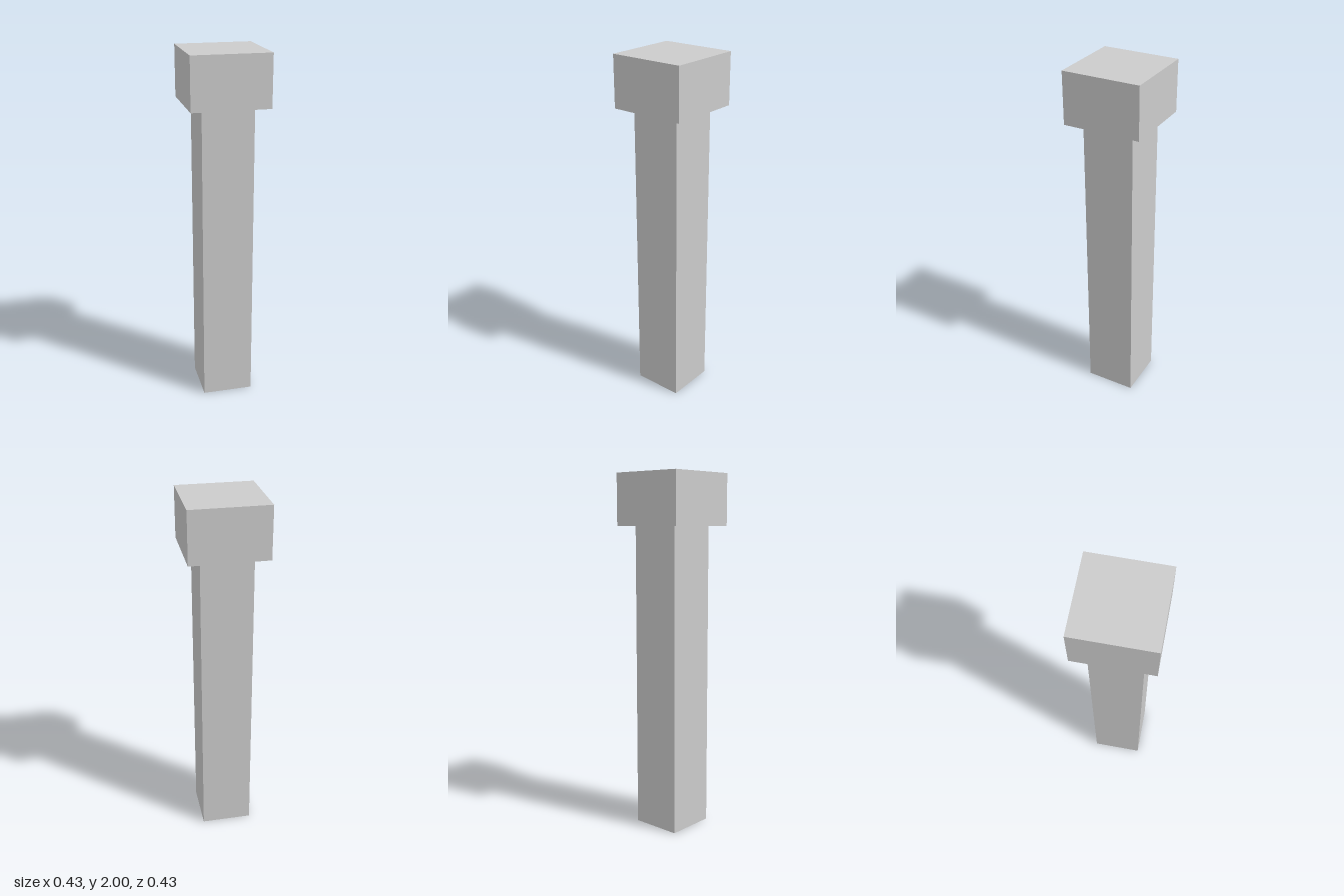
import * as THREE from 'three';

// Proportions: the whole post is 7 units tall, scaled to a height of 2
const U = 2 / 7;

export function createModel() {
  const group = new THREE.Group();
  group.name = 'post';
  const material = new THREE.MeshStandardMaterial({ color: 0xcccccc, flatShading: true });

  // Square block standing on height y
  const addBlock = (name, width, height, y) => {
    const mesh = new THREE.Mesh(new THREE.BoxGeometry(width, height, width), material);
    mesh.name = name;
    mesh.position.y = y + height / 2;
    group.add(mesh);
  };

  addBlock('shaft', U, 6 * U, 0);
  addBlock('cap', 1.5 * U, U, 6 * U);

  return group;
}
